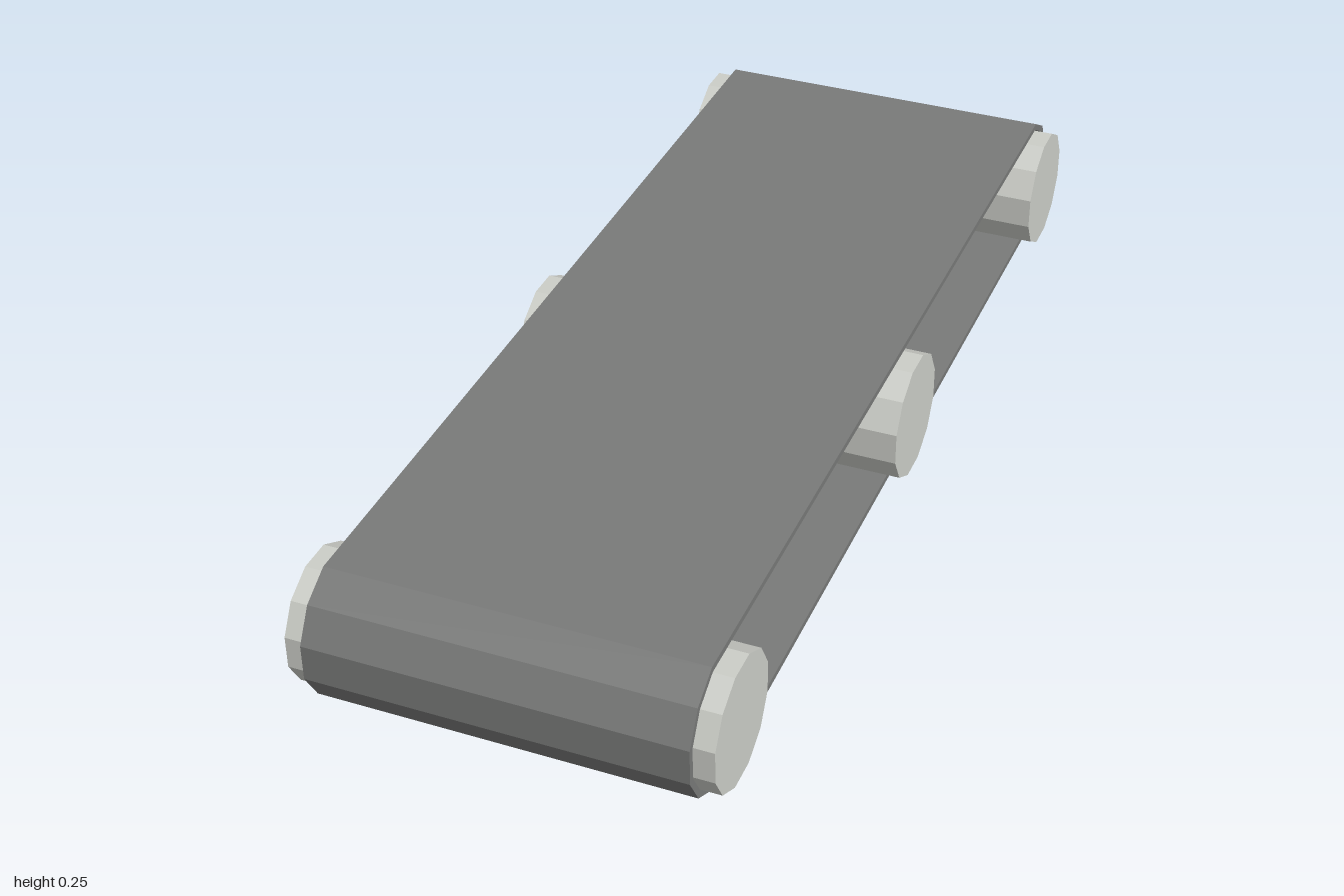
import * as THREE from 'three';

const SIDES = 12;
const STEP = (Math.PI * 2) / SIDES;
const AXLE_Y = 0.1265;
const END_Z = 0.8735;
const BELT_WIDTH = 0.664;
const ROLLER_LENGTH = 0.736;

// Closed loop around the two end rollers; apothem is the distance from axle to flat.
function loopPoints(apothem) {
  const radius = apothem / Math.cos(STEP / 2);
  const points = [];
  for (const side of [1, -1]) {
    for (let i = 0; i < SIDES / 2; i++) {
      const a = -Math.PI / 2 + STEP * (i + 0.5);
      points.push(new THREE.Vector2(
        side * (END_Z + radius * Math.cos(a)),
        side * radius * Math.sin(a)
      ));
    }
  }
  return points;
}

export function createModel() {
  const model = new THREE.Group();
  model.name = 'conveyor';

  const beltMaterial = new THREE.MeshStandardMaterial({ color: 0x797a79, flatShading: true });
  const rollerMaterial = new THREE.MeshStandardMaterial({ color: 0xcccec8, flatShading: true });

  // Belt: a thin band extruded across the width
  const profile = new THREE.Shape(loopPoints(0.1265));
  profile.holes.push(new THREE.Path(loopPoints(0.1145)));
  const beltGeometry = new THREE.ExtrudeGeometry(profile, { depth: BELT_WIDTH, bevelEnabled: false });
  beltGeometry.translate(0, 0, -BELT_WIDTH / 2);
  beltGeometry.rotateY(-Math.PI / 2);
  const belt = new THREE.Mesh(beltGeometry, beltMaterial);
  belt.name = 'belt';
  belt.position.y = AXLE_Y;
  model.add(belt);

  // Rollers: one at each end and one in the middle, flats facing up and down
  const rollerRadius = 0.113 / Math.cos(STEP / 2);
  const rollerGeometry = new THREE.CylinderGeometry(
    rollerRadius, rollerRadius, ROLLER_LENGTH, SIDES, 1, false, STEP / 2
  );
  rollerGeometry.rotateZ(Math.PI / 2);
  const places = { frontRoller: END_Z, middleRoller: 0, backRoller: -END_Z };
  for (const [name, z] of Object.entries(places)) {
    const roller = new THREE.Mesh(rollerGeometry, rollerMaterial);
    roller.name = name;
    roller.position.set(0, AXLE_Y, z);
    model.add(roller);
  }

  return model;
}
